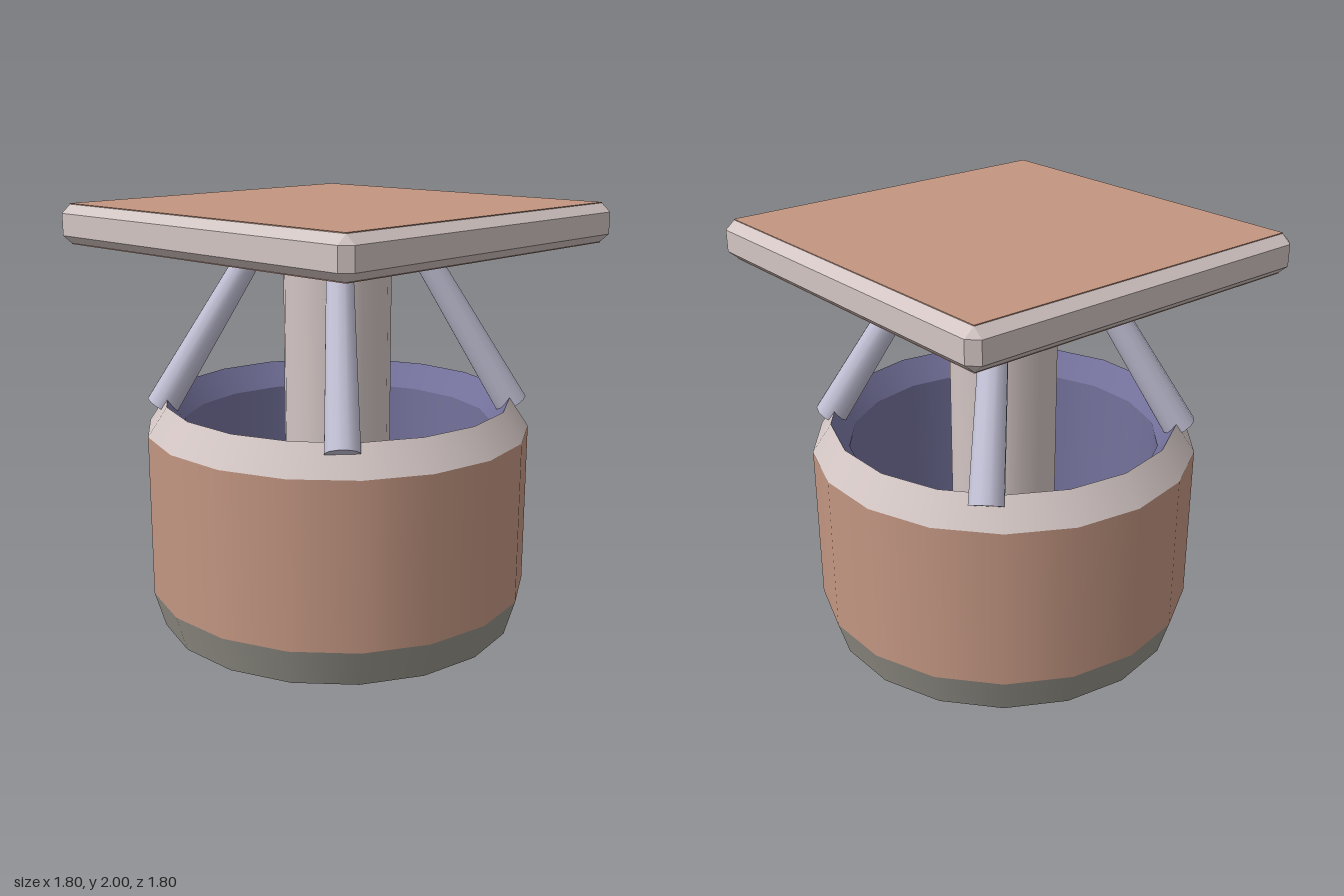
import * as THREE from 'three';
import { ConvexGeometry } from 'three/addons/geometries/ConvexGeometry.js';

const mat = (name, color) => Object.assign(new THREE.MeshStandardMaterial({ color }), { name });

export function createModel() {
  const terracotta = mat('terracotta', 0xc39682);
  const paleTrim = mat('paleTrim', 0xd2c5c3);
  const baseGrey = mat('baseGrey', 0x96938a);
  const strutLilac = mat('strutLilac', 0xc3c1d6);
  const liningBlue = mat('liningBlue', 0x74729c);
  const amber = mat('amber', 0xc08838);

  const model = new THREE.Group();
  const add = (name, geometry, material, parent = model) => {
    const mesh = new THREE.Mesh(geometry, material);
    mesh.name = name;
    parent.add(mesh);
    return mesh;
  };

  // Hollow drum: one smooth 18-sided band per profile step, so edges stay sharp
  const drum = new THREE.Group();
  drum.name = 'drum';
  model.add(drum);
  const bands = [
    ['baseUnderside', 0.76, 0, 0.85, 0.03, baseGrey],
    ['baseBand', 0.85, 0.03, 0.9, 0.2, baseGrey],
    ['drumWall', 0.9, 0.2, 0.9, 0.965, terracotta],
    ['rim', 0.9, 0.965, 0.81, 1.1, paleTrim],
    ['innerRim', 0.81, 1.1, 0.73, 0.98, liningBlue],
    ['innerWall', 0.73, 0.98, 0.73, 0.1, liningBlue],
    ['bottomCollar', 0.73, 0.1, 0.76, 0, amber],
  ];
  for (const [name, r0, y0, r1, y1, material] of bands) {
    const profile = [new THREE.Vector2(r0, y0), new THREE.Vector2(r1, y1)];
    add(name, new THREE.LatheGeometry(profile, 18), material, drum);
  }

  // Floor slats, each trimmed to the round opening
  for (let i = -2; i <= 2; i++) {
    const z = i * 0.27;
    const length = 2 * Math.sqrt(0.74 ** 2 - (Math.abs(z) + 0.07) ** 2);
    add('floorSlat', new THREE.BoxGeometry(length, 0.04, 0.19), terracotta).position.set(0, 0.12, z);
  }

  // Central post with a tapered shoulder
  add('post', new THREE.CylinderGeometry(0.25, 0.25, 1.55, 18), paleTrim).position.y = 0.955;
  add('postShoulder', new THREE.CylinderGeometry(0.17, 0.25, 0.1, 18), paleTrim).position.y = 1.78;

  // Four tapered struts leaning in from the rim to the table top
  const up = new THREE.Vector3(0, 1, 0);
  for (const sx of [-1, 1]) {
    for (const sz of [-1, 1]) {
      const foot = new THREE.Vector3(sx * 0.585, 1.055, sz * 0.585);
      const head = new THREE.Vector3(sx * 0.245, 1.85, sz * 0.245);
      const axis = head.clone().sub(foot);
      const strut = add('strut', new THREE.CylinderGeometry(0.058, 0.078, axis.length(), 12), strutLilac);
      strut.position.copy(foot).add(head).multiplyScalar(0.5);
      strut.quaternion.setFromUnitVectors(up, axis.normalize());
    }
  }

  // Square top with every edge bevelled
  const A = 0.9, B = 0.855, H = 0.088, h = 0.05;
  const corners = [];
  for (const sx of [-1, 1]) for (const sy of [-1, 1]) for (const sz of [-1, 1]) {
    corners.push(
      new THREE.Vector3(sx * A, sy * h, sz * B),
      new THREE.Vector3(sx * B, sy * h, sz * A),
      new THREE.Vector3(sx * B, sy * H, sz * B));
  }
  add('topFrame', new ConvexGeometry(corners), paleTrim).position.y = 1.908;

  // Thin coloured panels on both faces of the top
  for (const [name, y] of [['topPanel', 1.997], ['undersidePanel', 1.819]]) {
    add(name, new THREE.BoxGeometry(2 * B, 0.006, 2 * B), terracotta).position.y = y;
  }

  return model;
}
